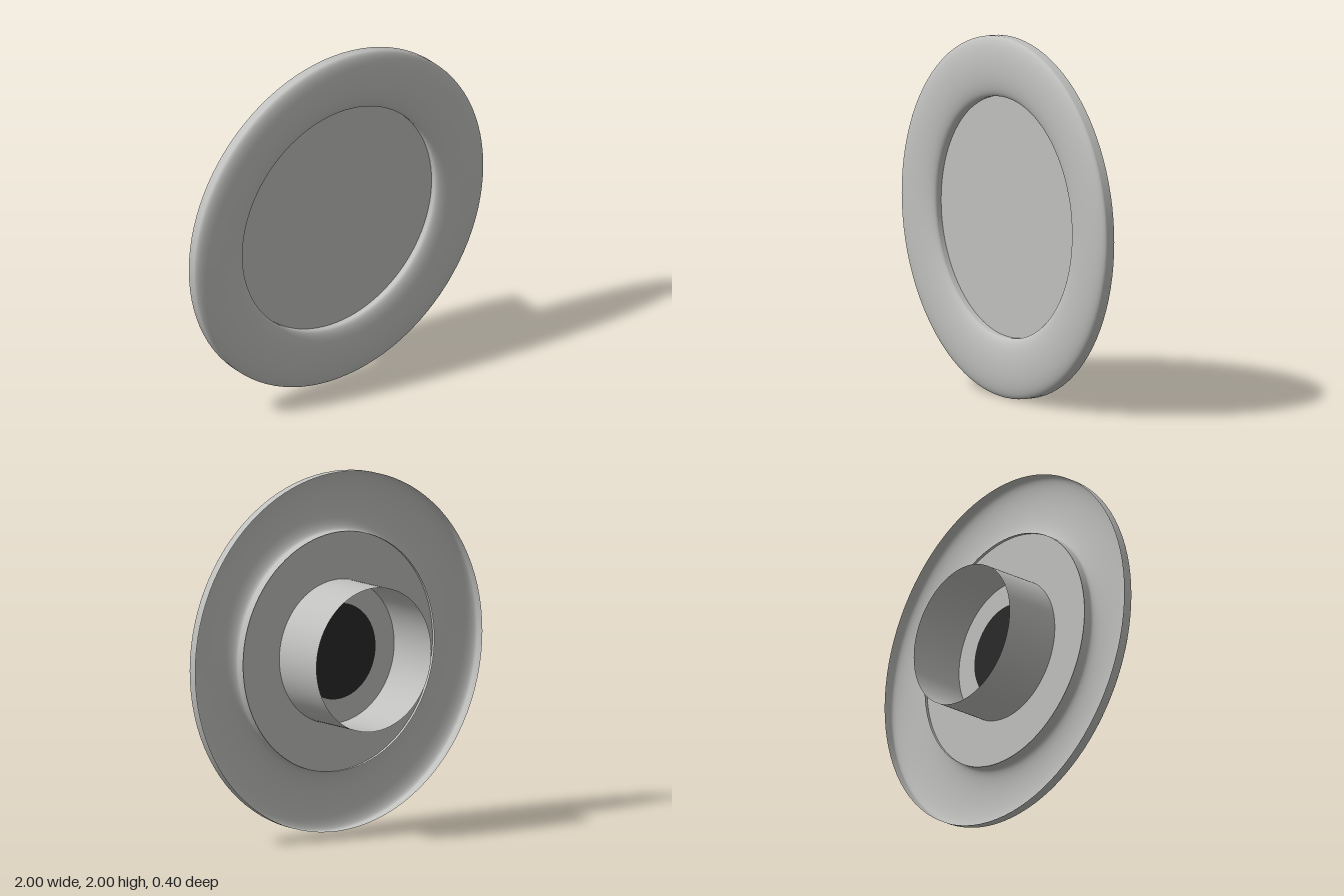
import * as THREE from 'three';

export function createModel() {
  const model = new THREE.Group();
  const grey = new THREE.MeshStandardMaterial({ color: 0xc0c0be, side: THREE.DoubleSide });
  grey.name = 'light grey';
  const dark = new THREE.MeshStandardMaterial({ color: 0x2a2a2a, side: THREE.DoubleSide });
  dark.name = 'near black';

  const SEGMENTS = 96;
  const INNER = 0.667, BACK = 0.11, WALL = 0.155, FRONT = 0.2, DISC = 0.128;

  // All parts turn around a z axis at height 1
  function add(name, geometry, material, z = 0) {
    const mesh = new THREE.Mesh(geometry, material);
    mesh.name = name;
    mesh.position.set(0, 1, z);
    model.add(mesh);
    return mesh;
  }
  const turned = (points) => new THREE.LatheGeometry(points, SEGMENTS).rotateX(Math.PI / 2);

  // Hollow rounded rim: outer wall, half-ellipse crown, inner wall
  const profile = [new THREE.Vector2(1, BACK)];
  const mid = (1 + INNER) / 2, half = (1 - INNER) / 2;
  for (let i = 0; i <= 24; i++) {
    const a = (i / 24) * Math.PI;
    profile.push(new THREE.Vector2(mid + half * Math.cos(a), WALL + (FRONT - WALL) * Math.sin(a)));
  }
  profile.push(new THREE.Vector2(INNER, BACK));
  add('rim', turned(profile), grey);

  // Flat centre panel, slightly recessed from the back lip
  add('centrePanel', new THREE.CircleGeometry(INNER, SEGMENTS), grey, DISC);

  // Open collar at the back
  add('collar', turned([new THREE.Vector2(0.4, -0.2), new THREE.Vector2(0.4, DISC)]), grey);

  // Dark round patch inside the collar
  add('darkPatch', new THREE.CircleGeometry(0.267, SEGMENTS).rotateY(Math.PI), dark, DISC - 0.004);

  return model;
}
